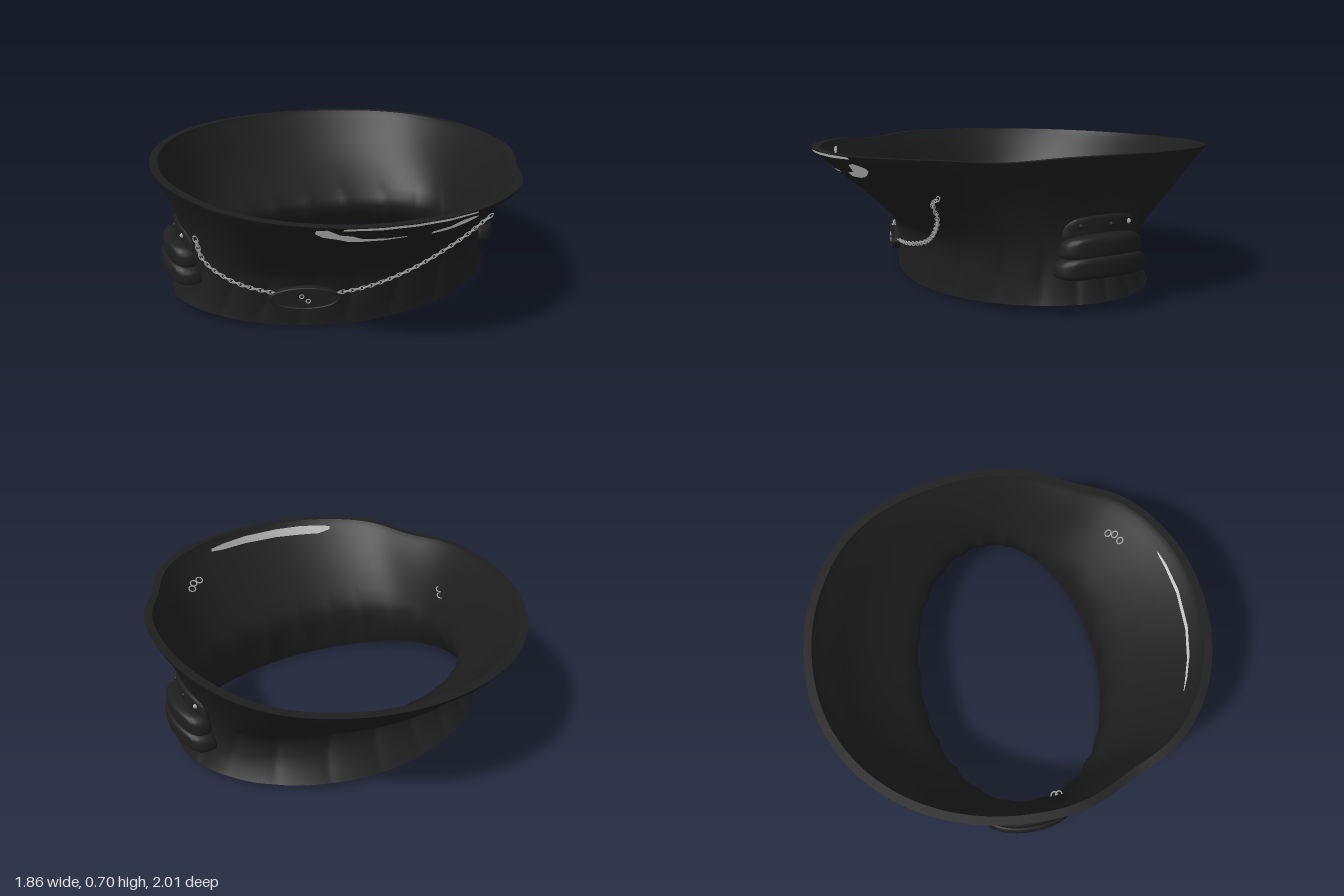
import * as THREE from 'three';
import { mergeVertices } from 'three/addons/utils/BufferGeometryUtils.js';

const mat = (name, color, side = THREE.FrontSide) => {
  const m = new THREE.MeshStandardMaterial({ color, side });
  m.name = name;
  return m;
};

// Wall profile from hem to rim: height, half width, front depth, back depth
const PROFILE = [
  [0.045, 0.87, 0.54, 0.65], [0.09, 0.85, 0.535, 0.58], [0.15, 0.83, 0.54, 0.525],
  [0.2, 0.82, 0.54, 0.51], [0.25, 0.812, 0.55, 0.515], [0.3, 0.808, 0.58, 0.585],
  [0.36, 0.806, 0.64, 0.67], [0.45, 0.825, 0.735, 0.79], [0.54, 0.86, 0.84, 0.87],
  [0.62, 0.895, 0.93, 0.94], [0.66, 0.918, 0.98, 0.983], [0.69, 0.93, 1, 1],
];
const POWER = 2.1;
const bell = (x, width) => Math.exp(-((x / width) ** 2));
// Cloth is thin at the waist and thicker at the rim
const thickness = y => 0.02 + 0.02 * THREE.MathUtils.smoothstep(y, 0.3, 0.68);

// Profile values at a height
function sample(y) {
  let i = 0;
  while (i < PROFILE.length - 2 && PROFILE[i + 1][0] < y) i++;
  const [a, b] = [PROFILE[i], PROFILE[i + 1]];
  const k = THREE.MathUtils.clamp((y - a[0]) / (b[0] - a[0]), 0, 1);
  return a.map((v, n) => v + (b[n] - v) * k);
}

// Depth of the front wall at x and height y
function frontZ(x, y) {
  const [, w, f] = sample(y);
  return f * Math.pow(Math.max(0, 1 - Math.pow(Math.abs(x) / w, POWER)), 1 / POWER);
}

// Point on the wall at angle t, moved inward by inset
function wallPoint([y, w, f, b], t, inset) {
  const c = Math.cos(t), s = Math.sin(t);
  const low = Math.max(0, 1 - (y - 0.045) / 0.2);
  const high = Math.max(0, (y - 0.5) / 0.19);
  const power = POWER - 0.18 * low;
  const r = Math.pow(Math.abs(c) ** power + Math.abs(s) ** power, -1 / power);
  // gathers around the waist, a pinched rim at the front corners, one fuller back corner
  const crease = Math.abs(Math.sin(t * 11 + 0.5 * Math.sin(t * 3) + y * 4));
  const fold = 0.02 * bell(y - 0.17, 0.1) * (Math.sqrt(crease) - 0.8);
  const front = bell(Math.atan2(s, Math.abs(c)) - 0.5, 0.21);
  const back = bell(Math.atan2(s, c) + 0.75, 0.3);
  const k = r * (1 + (0.02 * back - 0.035 * front) * THREE.MathUtils.smoothstep(y, 0.3, 0.65));
  const drop = low * (s > 0 ? -0.045 : -0.015) * s * s
    + high * (0.008 * Math.cos(2 * t) - 0.018 * front);
  // padding is deeper behind the side pouches
  const sideInset = inset * (1 + 1.8 * bell(y - 0.2, 0.13));
  return [c * k * (w - sideInset + fold), y + drop, s * k * ((s > 0 ? f : b) - inset + fold)];
}

function buildMesh(pos, idx) {
  const g = new THREE.BufferGeometry();
  g.setAttribute('position', new THREE.Float32BufferAttribute(pos, 3));
  g.setIndex(idx);
  g.computeVertexNormals();
  return g;
}

// Closed band through a list of [profile row, inset]
function loft(rows, n = 264) {
  const pos = [], idx = [];
  rows.forEach(([row, inset]) => {
    for (let i = 0; i < n; i++) pos.push(...wallPoint(row, (i / n) * Math.PI * 2, inset));
  });
  for (let j = 0; j < rows.length - 1; j++) for (let i = 0; i < n; i++) {
    const k = (i + 1) % n, a = j * n + i, b = j * n + k;
    idx.push(a, a + n, b, b, a + n, b + n);
  }
  return buildMesh(pos, idx);
}

// Thin strip across the front from [x, low, high] columns; rising x faces forward
function strip(cols, zAt) {
  const pos = [], idx = [];
  cols.forEach(([x, lo, hi], i) => {
    pos.push(x, lo, zAt(x, lo), x, hi, zAt(x, hi));
    if (i) { const a = 2 * i - 2; idx.push(a, a + 2, a + 1, a + 1, a + 2, a + 3); }
  });
  return buildMesh(pos, idx);
}

// Soft cushion, narrower at the top and wrapped around the wall
function cushion(w, h, d, taper) {
  let g = new THREE.BoxGeometry(2, 2, 2, 6, 8, 20);
  g.deleteAttribute('uv');
  g.deleteAttribute('normal');
  g = mergeVertices(g);
  const p = g.attributes.position;
  for (let i = 0; i < p.count; i++) {
    const v = new THREE.Vector3().fromBufferAttribute(p, i);
    const r = Math.pow(v.x ** 4 + v.y ** 4 + v.z ** 4, -0.25);
    const y = v.y * r, z = v.z * r * (d / 2) * (1 - taper * y);
    p.setXYZ(i, v.x * r * w / 2 - z * z, y * h / 2 - 0.25 * z * z, z);
  }
  g.computeVertexNormals();
  return g;
}

export function createModel() {
  const root = new THREE.Group();
  root.name = 'flaredCollar';
  const cloth = mat('black cloth', 0x1e1e1e);
  const metal = mat('dull silver', 0xa4a4a4);
  const pale = mat('pale lining', 0xe8e8e8);
  const add = (parent, name, geo, m, x = 0, y = 0, z = 0) => {
    const mesh = new THREE.Mesh(geo, m);
    mesh.name = name;
    mesh.position.set(x, y, z);
    parent.add(mesh);
    return mesh;
  };

  // Collar shell
  const top = PROFILE[PROFILE.length - 1], hem = PROFILE[0];
  add(root, 'outerWall', loft(PROFILE.map(r => [r, 0])), cloth);
  add(root, 'rim', loft([[top, 0], [top, thickness(top[0])]]), cloth);
  add(root, 'innerWall', loft([...PROFILE].reverse().map(r => [r, thickness(r[0])])), cloth);
  add(root, 'hem', loft([[hem, thickness(hem[0])], [hem, 0]]), cloth);

  // Pale lining showing through at the front rim
  const outside = (x, y) => frontZ(x, y) + 0.012;
  [
    [[-0.4, 0.65, 0.67], [-0.36, 0.62, 0.675], [-0.3, 0.605, 0.64], [-0.25, 0.585, 0.63], [-0.2, 0.58, 0.605], [-0.1, 0.578, 0.592], [0, 0.583, 0.59]],
    [[0.12, 0.573, 0.592], [0.2, 0.575, 0.605], [0.24, 0.58, 0.64], [0.29, 0.595, 0.65], [0.34, 0.62, 0.635]],
    [[-0.3, 0.67, 0.68], [-0.15, 0.667, 0.681], [0, 0.667, 0.681], [0.15, 0.667, 0.681], [0.3, 0.67, 0.68]],
  ].forEach(c => add(root, 'liningPatch', strip(c, outside), pale));
  add(root, 'liningStrip', strip(
    [[0.33, 0.65, 0.668], [0.25, 0.635, 0.672], [0.1, 0.63, 0.676], [-0.1, 0.625, 0.676], [-0.25, 0.62, 0.676], [-0.36, 0.62, 0.672], [-0.42, 0.645, 0.666]],
    x => frontZ(x, 0.625) - 0.048), pale);

  // Side pouches, with the right one turned half way round
  for (const side of [1, -1]) {
    const pouch = new THREE.Group();
    pouch.name = side > 0 ? 'leftPouch' : 'rightPouch';
    pouch.rotation.y = side > 0 ? 0 : Math.PI;
    pouch.position.z = -0.02;
    root.add(pouch);
    add(pouch, 'lowerFold', cushion(0.13, 0.105, 0.46, 0.05), cloth, 0.847, 0.212, 0);
    add(pouch, 'upperFold', cushion(0.115, 0.11, 0.41, 0.05), cloth, 0.84, 0.295, 0);
    add(pouch, 'flap', cushion(0.045, 0.12, 0.38, 0.06), cloth, 0.815, 0.368, 0);
    for (const z of [0.12, -0.03, -0.14]) {
      add(pouch, 'stud', new THREE.SphereGeometry(0.012, 10, 8), side * z < -0.1 ? metal : cloth, 0.835 - z * z, 0.385, side * z);
    }
  }

  // Hanging chain of alternating links
  const path = new THREE.CatmullRomCurve3([
    [-0.78, 0.42], [-0.75, 0.31], [-0.65, 0.24], [-0.5, 0.2], [-0.33, 0.18], [-0.15, 0.185], [0, 0.2],
    [0.2, 0.25], [0.35, 0.33], [0.45, 0.41], [0.5, 0.48], [0.55, 0.51],
  ].map(([x, y]) => new THREE.Vector3(x, y, frontZ(x, y) + 0.022)));
  const chain = new THREE.Group();
  chain.name = 'chain';
  root.add(chain);
  const link = new THREE.TorusGeometry(0.013, 0.0035, 4, 10).scale(1.4, 0.8, 1);
  const N = 68, xAxis = new THREE.Vector3(1, 0, 0);
  for (let i = 0; i <= N; i++) {
    const m = add(chain, 'link', link, metal);
    m.position.copy(path.getPointAt(i / N));
    m.quaternion.setFromUnitVectors(xAxis, path.getTangentAt(i / N));
    m.rotateX(i % 2 ? 1.2 : 0.2);
  }
  // Rings holding both chain ends on the inside
  for (const [x, y, z] of [[0.47, 0.575, 0.675], [0.51, 0.575, 0.655], [0.53, 0.56, 0.625], [-0.785, 0.45, 0.13], [-0.78, 0.42, 0.11]]) {
    add(root, 'anchorRing', new THREE.TorusGeometry(0.018, 0.004, 5, 12), metal, x, y, z).rotation.x = 1;
  }

  // Oval badge with a low raised border
  const badge = new THREE.Group();
  badge.name = 'badge';
  badge.position.set(-0.33, 0.172, 0.52);
  badge.rotation.y = -0.3;
  root.add(badge);
  add(badge, 'plate', new THREE.CylinderGeometry(1, 1, 0.035, 40).rotateX(Math.PI / 2).scale(0.16, 0.052, 1), cloth);
  add(badge, 'border', new THREE.TorusGeometry(1, 0.08, 6, 40).scale(0.16, 0.052, 0.08), cloth, 0, 0, 0.016);
  for (const [x, y] of [[-0.015, 0.012], [0.015, -0.012]]) {
    add(badge, 'clasp', new THREE.TorusGeometry(0.01, 0.003, 4, 10), metal, x, y, 0.021);
  }
  return root;
}
